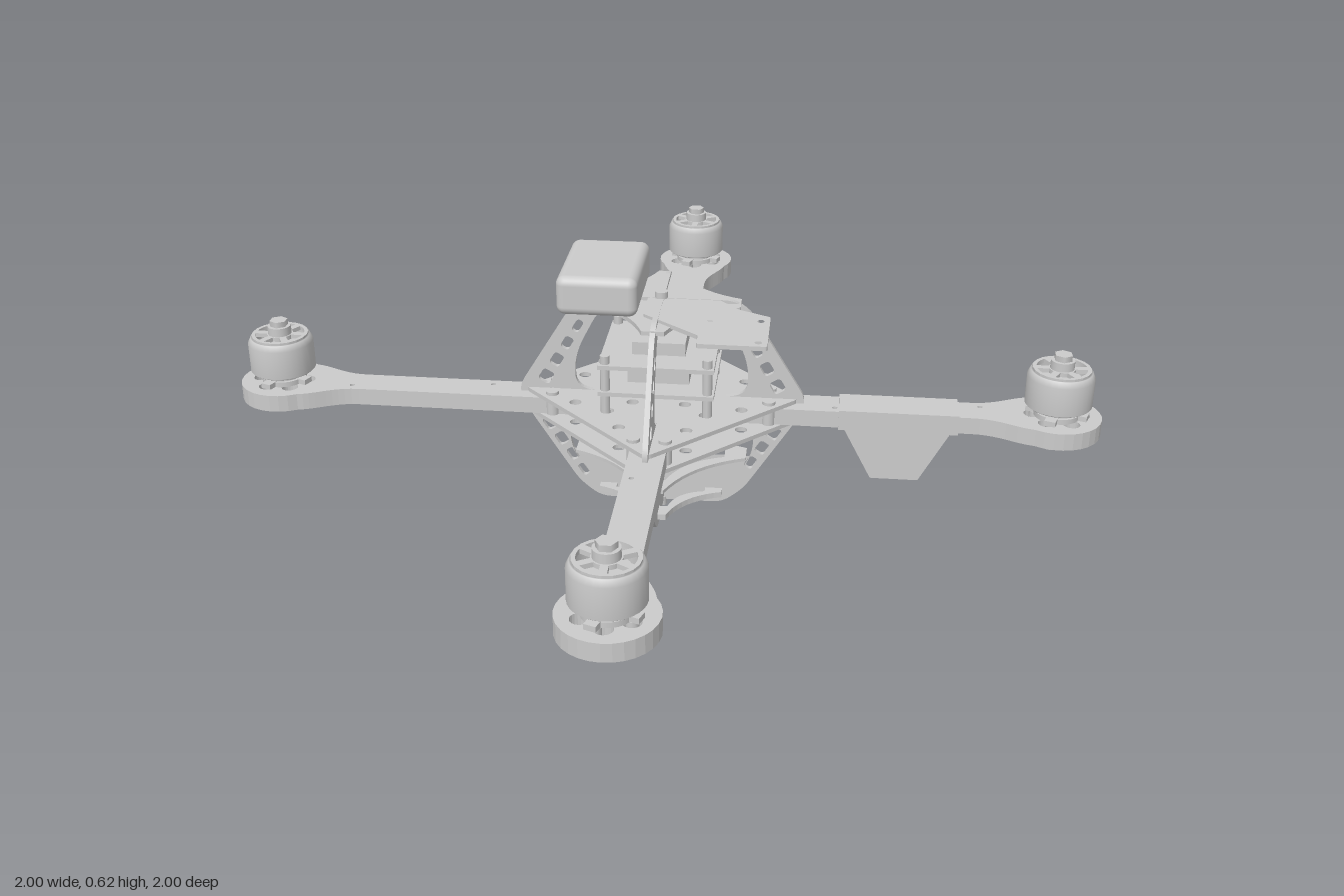
import * as THREE from 'three';
import { RoundedBoxGeometry } from 'three/addons/geometries/RoundedBoxGeometry.js';

const material = new THREE.MeshStandardMaterial({ color: 0xcccccc });

function add(parent, name, geometry, x = 0, y = 0, z = 0) {
  const mesh = new THREE.Mesh(geometry, material);
  mesh.name = name;
  mesh.position.set(x, y, z);
  parent.add(mesh);
  return mesh;
}

// Closed outline with softened corners
function outline(points, r, Type = THREE.Shape) {
  const path = new Type();
  const p = points.map(([x, y]) => new THREE.Vector2(x, y));
  p.forEach((c, i) => {
    const toward = (q) => {
      const d = q.clone().sub(c);
      return c.clone().addScaledVector(d, Math.min(r, d.length() * 0.45) / d.length());
    };
    const a = toward(p[(i + p.length - 1) % p.length]);
    const b = toward(p[(i + 1) % p.length]);
    if (i === 0) path.moveTo(a.x, a.y); else path.lineTo(a.x, a.y);
    path.quadraticCurveTo(c.x, c.y, b.x, b.y);
  });
  path.closePath();
  return path;
}

const mirrorX = (half) => [...half, ...half.map(([x, y]) => [-x, y]).reverse()];
const circleHole = (x, y, r) => new THREE.Path().absarc(x, y, r, 0, Math.PI * 2, true);
const extrude = (shape, depth) =>
  new THREE.ExtrudeGeometry(shape, { depth, bevelEnabled: false, curveSegments: 10 });
// Horizontal plate: shape (x, z), hanging down from y = 0
const plate = (shape, depth) => extrude(shape, depth).rotateX(Math.PI / 2);
const cyl = (r, h, n = 16) => new THREE.CylinderGeometry(r, r, h, n);

// Point list repeated by quarter turns
function quarterTurns(points) {
  const out = [];
  for (let k = 0; k < 4; k++) {
    const c = Math.round(Math.cos(k * Math.PI / 2)), s = Math.round(Math.sin(k * Math.PI / 2));
    points.forEach(([x, y]) => out.push([c * x - s * y, s * x + c * y]));
  }
  return out;
}

// Upright cage profile with lightening slots on its slanted sides
function ribGeometry() {
  const shape = outline(mirrorX([[0.145, 0.015], [0.195, 0.055], [0.31, 0.235], [0.335, 0.293], [0.205, 0.505], [0.165, 0.533]]), 0.025);
  shape.holes.push(
    outline(mirrorX([[0.2, 0.295], [0.2, 0.385], [0.135, 0.512]]), 0.05, THREE.Path),
    outline(mirrorX([[0.14, 0.035], [0.215, 0.14], [0.215, 0.235]]), 0.04, THREE.Path));
  const rows = [[0.268, 0.325, 0.192, 0.455, 4], [0.262, 0.205, 0.185, 0.085, 4]];
  for (const [x0, y0, x1, y1, n] of rows) {
    const d = new THREE.Vector2(x1 - x0, y1 - y0).normalize();
    for (let i = 0; i < n; i++) {
      const t = i / (n - 1), cx = x0 + (x1 - x0) * t, cy = y0 + (y1 - y0) * t;
      const w = 0.015 - 0.002 * i;
      const quad = [[-1, -1], [1, -1], [1, 1], [-1, 1]].map(([a, b]) =>
        [cx + d.x * a * 0.016 - d.y * b * w, cy + d.y * a * 0.016 + d.x * b * w]);
      for (const s of [1, -1])
        shape.holes.push(outline(quad.map(([x, y]) => [s * x, y]), 0.009, THREE.Path));
    }
  }
  return extrude(shape, 0.012).translate(0, 0, -0.006);
}

// Brushless motor, standing on y = 0
function buildMotor() {
  const motor = new THREE.Group();
  motor.name = 'motor';
  add(motor, 'motorBase', cyl(0.052, 0.012, 24), 0, 0.006, 0);
  add(motor, 'stator', cyl(0.045, 0.09, 24), 0, 0.05, 0);
  const wall = [[0.066, 0.03], [0.07, 0.026], [0.075, 0.03], [0.075, 0.098], [0.068, 0.112], [0.062, 0.112], [0.066, 0.03]];
  const bell = new THREE.LatheGeometry(wall.map(([x, y]) => new THREE.Vector2(x, y)), 32);
  add(motor, 'motorBell', bell);
  const top = new THREE.Shape().absarc(0, 0, 0.065, 0, Math.PI * 2);
  for (let i = 0; i < 6; i++) {
    const a = i * Math.PI / 3, h = new THREE.Path();
    h.absarc(0, 0, 0.056, a + 0.14, a + 0.9, false);
    h.absarc(0, 0, 0.03, a + 0.78, a + 0.26, true);
    h.closePath();
    top.holes.push(h);
  }
  add(motor, 'spokedCap', plate(top, 0.01), 0, 0.117, 0);
  add(motor, 'shaftCollar', cyl(0.027, 0.02, 20), 0, 0.127, 0);
  add(motor, 'shaftNut', cyl(0.021, 0.025, 6), 0, 0.138, 0);
  for (let i = 0; i < 4; i++) {
    const a = 0.35 + i * Math.PI / 2;
    add(motor, 'mountFoot', new THREE.BoxGeometry(0.035, 0.012, 0.025), Math.cos(a) * 0.052, 0.007, Math.sin(a) * 0.052).rotation.y = -a;
    add(motor, 'mountScrew', cyl(0.013, 0.06, 12), Math.cos(a) * 0.05, -0.03, Math.sin(a) * 0.05);
  }
  return motor;
}

// Arm along +x, flaring into a round motor pad
function armGeometry() {
  const s = new THREE.Shape();
  s.moveTo(0.04, -0.04);
  s.lineTo(0.71, -0.04);
  s.bezierCurveTo(0.77, -0.04, 0.8, -0.075, 0.845, -0.0835);
  s.absarc(0.9, 0, 0.1, -Math.PI + 0.988, Math.PI - 0.988, false);
  s.bezierCurveTo(0.8, 0.075, 0.77, 0.04, 0.71, 0.04);
  s.lineTo(0.04, 0.04);
  s.closePath();
  for (let i = 0; i < 6; i++) {
    const a = i * Math.PI / 3;
    s.holes.push(circleHole(0.9 + Math.cos(a) * 0.055, Math.sin(a) * 0.055, 0.019));
  }
  s.holes.push(circleHole(0.9, 0, 0.023), circleHole(0.4, 0.02, 0.006), circleHole(0.73, -0.02, 0.006));
  return plate(s, 0.04);
}

export function createModel() {
  const model = new THREE.Group();
  model.name = 'quadcopter';

  // Arms with motors
  const arm = armGeometry();
  for (let k = 0; k < 4; k++) {
    const group = new THREE.Group();
    group.name = 'armAssembly';
    group.rotation.y = k * Math.PI / 2;
    add(group, 'arm', arm, 0, 0.285, 0);
    const motor = buildMotor();
    motor.position.set(0.9, 0.285, 0);
    group.add(motor);
    // Screws clamping the hub plates to the arm
    for (const s of [1, -1]) add(group, 'hubScrew', cyl(0.015, 0.075, 12), 0.25, 0.265, s * 0.035);
    model.add(group);
  }

  // Crossed upright cage ribs
  const rib = ribGeometry();
  add(model, 'cageRib', rib);
  add(model, 'cageRib', rib).rotation.y = Math.PI / 2;

  // Hub plates above and below the arms
  const hub = outline(quarterTurns([[0.32, 0], [0.225, 0.095], [0.095, 0.225]]), 0.02);
  for (const [x, z] of quarterTurns([[0.11, 0.11], [0.19, 0.075], [0.075, 0.19], [0.06, 0.06]]))
    hub.holes.push(circleHole(x, z, 0.014));
  const hubGeo = plate(hub, 0.01);
  add(model, 'upperHubPlate', hubGeo, 0, 0.295, 0);
  add(model, 'lowerHubPlate', hubGeo, 0, 0.245, 0);

  // Thin bands tying the ribs together
  function band(name, y, r, width, t) {
    const ring = (q, Type) => {
      const s = new Type(), d = q * 0.36, w = 0.025;
      s.moveTo(q, -w);
      for (const [x, z] of quarterTurns([[1, 0]])) {
        const px = -z, pz = x;
        s.lineTo(x * q + px * w, z * q + pz * w);
        s.quadraticCurveTo((x + px) * d, (z + pz) * d, px * q + x * w, pz * q + z * w);
      }
      return s;
    };
    const shape = ring(r, THREE.Shape);
    if (width) shape.holes.push(ring(r - width, THREE.Path));
    add(model, name, plate(shape, t), 0, y, 0);
  }
  band('lowerBand', 0.052, 0.145, 0.04, 0.014);
  band('batteryBand', 0.146, 0.2, 0.05, 0.008);
  band('topPlate', 0.525, 0.18, 0, 0.01);

  // Electronics stack on standoffs
  for (const y of [0.345, 0.41])
    add(model, 'circuitBoard', new THREE.BoxGeometry(0.26, 0.01, 0.26), 0, y, 0);
  for (const [x, z] of quarterTurns([[0.115, 0.115]]))
    add(model, 'standoff', cyl(0.011, 0.145, 8), x, 0.362, z);
  add(model, 'processor', new THREE.BoxGeometry(0.12, 0.03, 0.12), 0, 0.43, 0);
  add(model, 'powerModule', new THREE.BoxGeometry(0.14, 0.03, 0.14), 0, 0.365, 0);

  // Angled accessory board on the top plate
  const board = outline([[0.1, 0.25], [0.25, 0.25], [0.25, 0.09], [0.18, 0.055], [0.09, -0.04], [-0.03, -0.04], [-0.03, 0.1], [0.1, 0.205]], 0.006);
  for (const [x, z] of [[0.12, 0.23], [0.23, 0.23], [0.23, 0.115], [0.12, 0.12]])
    board.holes.push(circleHole(x, z, 0.008));
  add(model, 'accessoryBoard', plate(board, 0.01), 0, 0.532, 0);
  add(model, 'receiver', new THREE.BoxGeometry(0.08, 0.03, 0.06), 0.09, 0.503, 0.06);

  // Rounded equipment box
  add(model, 'equipmentBox', new RoundedBoxGeometry(0.18, 0.09, 0.26, 4, 0.02), -0.13, 0.575, 0);

  // Centre bolts at the crossing of the ribs
  add(model, 'topBolt', cyl(0.015, 0.035, 12), 0, 0.53, 0);
  add(model, 'bottomBolt', cyl(0.013, 0.022, 12), 0, 0.011, 0);

  // Sleeve and fin on the left arm
  add(model, 'finSleeve', new THREE.BoxGeometry(0.27, 0.048, 0.09), 0.545, 0.266, 0);
  const fin = outline([[0.41, 0.25], [0.49, 0.1], [0.6, 0.1], [0.68, 0.25]], 0.004);
  add(model, 'fin', extrude(fin, 0.01), 0, 0, -0.005);

  return model;
}
